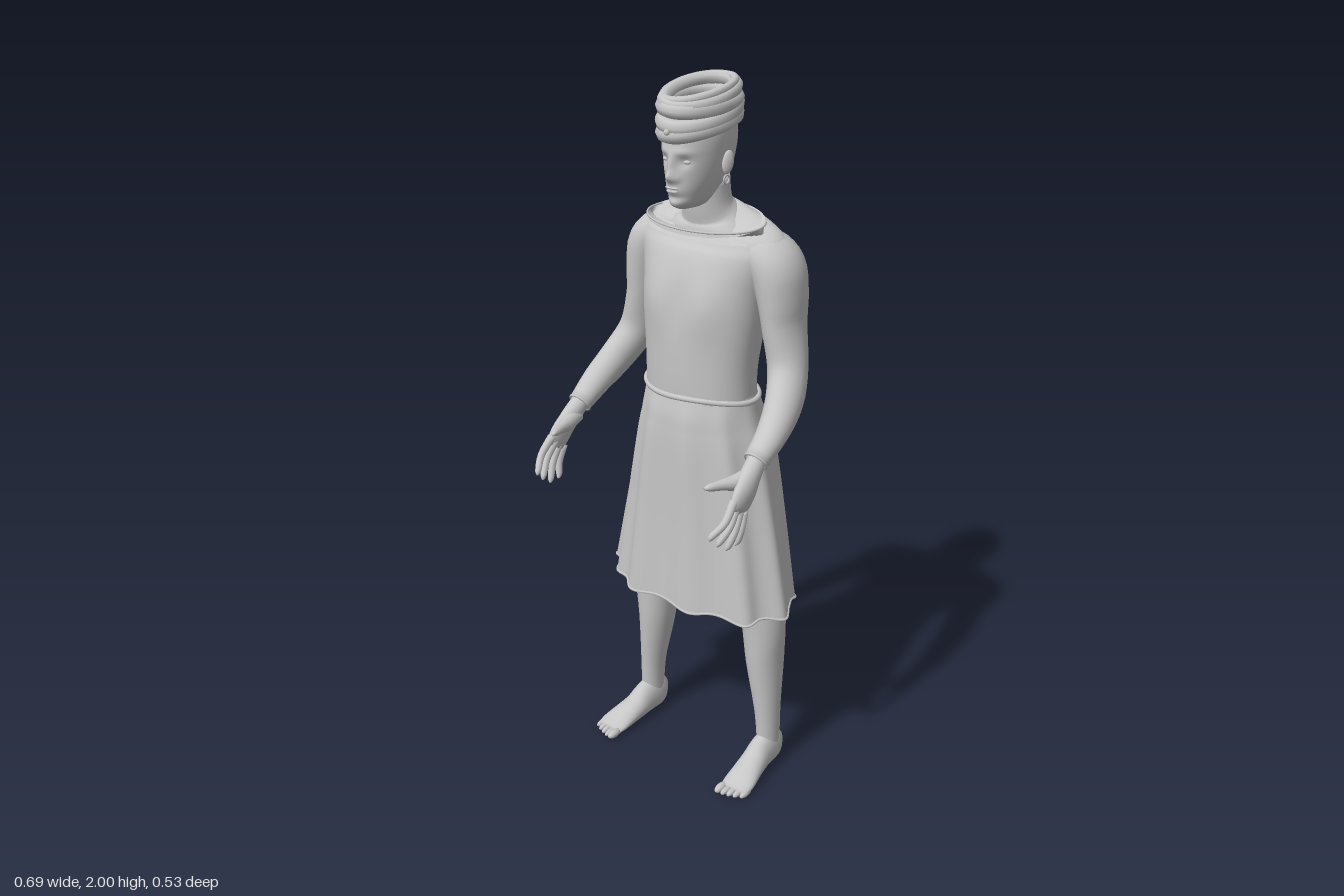
import * as THREE from 'three';

const V = (x, y, z) => new THREE.Vector3(x, y, z);
const X = V(1, 0, 0), Z = V(0, 0, 1);
const gauss = (d, w) => Math.exp(-(d * d) / (w * w));
const clay = new THREE.MeshStandardMaterial({ color: 0xc6c6c6, side: THREE.DoubleSide });
clay.name = 'plain light grey';

// Smooth skin over oval sections; each row is [x, y, z, side radius, front radius, back radius]
function loft(rows, { ref = X, seg = 24, power = 1, caps = true, fine = 4, shape = null } = {}) {
  const path = new THREE.CatmullRomCurve3(rows.map(r => V(r[0], r[1], r[2])), false, 'catmullrom', 0.5);
  const size = new THREE.CatmullRomCurve3(
    rows.map(r => V(r[3], r[4] ?? r[3], r[5] ?? r[4] ?? r[3])), false, 'catmullrom', 0.5);
  const n = (rows.length - 1) * fine, pos = [], idx = [];
  const bend = v => Math.sign(v) * Math.pow(Math.abs(v), power);
  for (let i = 0; i <= n; i++) {
    const c = path.getPoint(i / n), r = size.getPoint(i / n), T = path.getTangent(i / n);
    const u = ref.clone().addScaledVector(T, -ref.dot(T)).normalize();
    const v = u.clone().cross(T);
    for (let j = 0; j < seg; j++) {
      const a = j / seg * Math.PI * 2, co = Math.cos(a);
      const p = c.clone().addScaledVector(u, bend(Math.sin(a)) * Math.max(r.x, 0.001))
        .addScaledVector(v, bend(co) * Math.max(co > 0 ? r.y : r.z, 0.001));
      if (shape) shape(p, a, i / n, c);
      pos.push(p.x, p.y, p.z);
    }
  }
  for (let i = 0; i < n; i++) for (let j = 0; j < seg; j++) {
    const a = i * seg + j, b = i * seg + (j + 1) % seg;
    idx.push(a, b, b + seg, a, b + seg, a + seg);
  }
  if (caps) for (const i of [0, n]) {
    const c = path.getPoint(i / n), k = pos.length / 3;
    pos.push(c.x, c.y, c.z);
    for (let j = 0; j < seg; j++) {
      const a = i * seg + j, b = i * seg + (j + 1) % seg;
      if (i) idx.push(a, b, k); else idx.push(b, a, k);
    }
  }
  const g = new THREE.BufferGeometry();
  g.setAttribute('position', new THREE.Float32BufferAttribute(pos, 3));
  g.setIndex(idx);
  g.computeVertexNormals();
  return g;
}

// Closed cord: fn gives the point at each angle
function ring(fn, radius, n = 48, sides = 8) {
  const pts = Array.from({ length: n }, (_, i) => fn(i / n * Math.PI * 2));
  return new THREE.TubeGeometry(new THREE.CatmullRomCurve3(pts, true), n * 2, radius, sides, true);
}

export function createModel() {
  const model = new THREE.Group();
  const add = (name, geometry, parent = model) => {
    const m = new THREE.Mesh(geometry, clay);
    m.name = name;
    parent.add(m);
    return m;
  };
  const blob = (name, x, y, z, rx, ry, rz, parent) => {
    const m = add(name, new THREE.SphereGeometry(1, 16, 12), parent);
    m.position.set(x, y, z);
    m.scale.set(rx, ry, rz);
    return m;
  };

  // Torso sloping out into the shoulders, with chest swell and spine groove
  add('torso', loft([
    [0, 1.15, -0.08, 0.165, 0.11, 0.11], [0, 1.25, -0.08, 0.165, 0.113, 0.112],
    [0, 1.38, -0.09, 0.177, 0.122, 0.13], [0, 1.48, -0.105, 0.19, 0.122, 0.126],
    [0, 1.55, -0.125, 0.225, 0.112, 0.105], [0, 1.595, -0.13, 0.228, 0.095, 0.087],
    [0, 1.625, -0.13, 0.195, 0.078, 0.073], [0, 1.643, -0.125, 0.13, 0.065, 0.062],
    [0, 1.66, -0.115, 0.06, 0.05, 0.055]], {
    seg: 48, power: 0.9, shape: p => {
      if (p.z < -0.1) p.z += 0.014 * gauss(p.x, 0.035) * gauss(p.y - 1.4, 0.2);
      else p.z += (0.01 * gauss(Math.abs(p.x) - 0.085, 0.05) - 0.006 * gauss(p.x, 0.025)) * gauss(p.y - 1.43, 0.07);
    } }));

  // Loose neckline: narrow lip standing off the chest
  const lip = a => 1.639 - 0.009 * Math.cos(a);
  add('collarEdge', ring(a => V(0.176 * Math.sin(a), lip(a), -0.093 + 0.108 * Math.cos(a)), 0.003, 40, 6));
  add('collar', loft([[0, 1.6, -0.098, 0.183, 0.09], [0, 1.639, -0.093, 0.176, 0.108]], {
    seg: 40, caps: false, fine: 1, shape: (p, a) => { p.y += lip(a) - 1.639; } }));

  // Skirt with uneven flared folds: [angle, depth]
  const folds = [[-2.66, 0.2], [2.27, 0.11], [-1.5, 0.15], [1.45, 0.08], [-0.45, 0.14], [0.2, 0.1],
    [0.82, 0.12], [-0.9, 0.09], [3.0, 0.06], [-2.1, 0.06]];
  const flare = a => folds.reduce((s, [t, d]) => {
    const da = Math.atan2(Math.sin(a - t), Math.cos(a - t));
    return s + d * gauss(da, 0.18);
  }, 0);
  const drape = (p, a, f, c) => {
    const w = Math.pow(1 - f, 0.8), k = 1 + (flare(a) - 0.04) * w;
    p.x *= k;
    p.z = c.z + (p.z - c.z) * k;
    p.y -= 0.1 * flare(a) * Math.max(0, 1 - f * 3);
  };
  const hem = [0, 0.552, -0.1, 0.294, 0.158, 0.154];
  add('skirt', loft([hem, [0, 0.8, -0.1, 0.248, 0.15, 0.153], [0, 1.03, -0.095, 0.2, 0.143, 0.155],
    [0, 1.12, -0.088, 0.178, 0.132, 0.125], [0, 1.18, -0.083, 0.167, 0.115, 0.11]],
  { seg: 120, caps: false, fine: 6, power: 0.95, shape: drape }));
  add('skirtHem', ring(a => {
    const pw = v => Math.sign(v) * Math.pow(Math.abs(v), 0.95);
    const p = V(hem[3] * pw(Math.sin(a)), hem[1], hem[2] + pw(Math.cos(a)) * (Math.cos(a) > 0 ? hem[4] : hem[5]));
    drape(p, a, 0, V(0, 0, hem[2]));
    return p;
  }, 0.004, 90, 6));
  add('waistRoll', ring(a => V(0.173 * Math.sin(a), 1.172 + 0.004 * Math.sin(a * 3), -0.082 + 0.114 * Math.cos(a)), 0.008));

  // Neck and head, with the face pushed out of the front
  add('neck', loft([[0, 1.61, -0.115, 0.13, 0.08, 0.085], [0, 1.645, -0.112, 0.088, 0.072, 0.075],
    [0, 1.68, -0.1, 0.065, 0.064, 0.066], [0, 1.75, -0.09, 0.058, 0.06, 0.072]]));
  const face = p => {
    if (p.z < -0.03) return;
    const ax = Math.abs(p.x), y = p.y;
    p.z += 0.02 * gauss(p.x, 0.013) * gauss(y - 1.77, 0.016)
      + 0.012 * gauss(p.x, 0.01) * gauss(y - 1.8, 0.025)
      + 0.006 * gauss(ax - 0.015, 0.008) * gauss(y - 1.765, 0.01)
      - 0.009 * gauss(ax - 0.031, 0.016) * gauss(y - 1.808, 0.014)
      + 0.005 * gauss(ax - 0.03, 0.025) * gauss(y - 1.832, 0.01)
      + 0.006 * gauss(p.x, 0.022) * gauss(y - 1.738, 0.014)
      - 0.005 * gauss(p.x, 0.03) * gauss(y - 1.716, 0.008);
  };
  add('head', loft([[0, 1.682, -0.06, 0.022, 0.075, 0.01], [0, 1.697, -0.06, 0.041, 0.1, 0.045],
    [0, 1.73, -0.06, 0.057, 0.103, 0.08], [0, 1.77, -0.06, 0.07, 0.103, 0.108],
    [0, 1.82, -0.06, 0.078, 0.106, 0.125], [0, 1.87, -0.06, 0.08, 0.103, 0.128],
    [0, 1.92, -0.06, 0.07, 0.085, 0.11], [0, 1.945, -0.06, 0.045, 0.055, 0.07], [0, 1.957, -0.06, 0.002]],
  { seg: 72, fine: 8, shape: face }));
  blob('upperLip', 0, 1.742, 0.045, 0.021, 0.004, 0.006);
  blob('lowerLip', 0, 1.733, 0.044, 0.018, 0.005, 0.007);

  // Wrapped headdress: tilted cloth coils around an open crown
  const coil = (y, rx, rz, lean, phase) => a => V(rx * Math.sin(a),
    y + 0.016 * (1 - Math.cos(a)) + lean * Math.sin(a + phase), -0.068 + rz * Math.cos(a));
  [[1.873, 0.074, 0.112, 0.006, 0, 0.022], [1.9, 0.075, 0.112, -0.008, 1, 0.022],
    [1.926, 0.075, 0.112, 0.009, 2, 0.021], [1.947, 0.074, 0.11, -0.006, 0.5, 0.018],
    [1.957, 0.072, 0.108, 0.004, 0, 0.011]].forEach(([y, rx, rz, l, ph, r], i) =>
    add('headdressCoil' + (i + 1), ring(coil(y, rx, rz, l, ph), r, 28, 8)));
  blob('headdressBead', 0, 1.884, 0.064, 0.008, 0.008, 0.006);

  for (const s of [1, -1]) {
    const side = s > 0 ? 'left' : 'right';
    const flip = rows => rows.map(([x, ...rest]) => [s * x, ...rest]);

    // Eye, ear and earring
    blob(side + 'Eye', s * 0.031, 1.808, 0.024, 0.013, 0.006, 0.008);
    const ear = blob(side + 'Ear', s * 0.082, 1.797, -0.078, 0.008, 0.03, 0.017);
    ear.rotation.set(-0.2, s * -0.35, 0);
    const hoop = add(side + 'Earring', new THREE.TorusGeometry(0.011, 0.0025, 6, 20));
    hoop.position.set(s * 0.084, 1.755, -0.07);
    hoop.rotation.y = Math.PI / 2;

    // Arm: shoulder, elbow, wrist
    const arm = new THREE.Group();
    arm.name = side + 'Arm';
    model.add(arm);
    add('sleeve', loft(flip([[0.1, 1.57, -0.13, 0.07, 0.05], [0.16, 1.572, -0.132, 0.08, 0.058],
      [0.203, 1.533, -0.134, 0.085, 0.067], [0.222, 1.46, -0.135, 0.082, 0.059],
      [0.232, 1.38, -0.133, 0.075, 0.05], [0.257, 1.275, -0.118, 0.06, 0.05],
      [0.285, 1.2, -0.065, 0.055, 0.046], [0.302, 1.14, 0.01, 0.042, 0.041],
      [0.305, 1.09, 0.083, 0.031, 0.033]]), { ref: Z }), arm);
    const cuff = add('cuff', new THREE.TorusGeometry(0.031, 0.004, 8, 24), arm);
    cuff.position.set(s * 0.305, 1.091, 0.081);
    cuff.rotation.x = 0.6;

    // Hand with four fingers and a thumb
    add('palm', loft(flip([[0.305, 1.1, 0.07, 0.025, 0.025], [0.31, 1.065, 0.108, 0.031, 0.025],
      [0.316, 1.03, 0.14, 0.038, 0.021], [0.318, 1.0, 0.165, 0.038, 0.015],
      [0.316, 0.985, 0.176, 0.026, 0.009]]), { ref: Z, seg: 20 }), arm);
    [[0.30, 0.935, 0.265], [0.305, 0.91, 0.24], [0.309, 0.888, 0.208], [0.311, 0.888, 0.173]].forEach(([x, y, z], i) => {
      const by = 1.02 - 0.0135 * i, bz = 0.187 - 0.015 * i;
      add('finger' + (i + 1), loft(flip([[0.316, by, bz, 0.012], [0.32, (by + y) / 2, (bz + z) / 2, 0.0105],
        [x + 0.004, y + 0.012, z - 0.008, 0.009], [x, y, z, 0.003]]), { seg: 10 }), arm);
    });
    add('thumb', loft(flip([[0.306, 1.06, 0.1, 0.024], [0.293, 1.053, 0.148, 0.021],
      [0.278, 1.056, 0.19, 0.014], [0.267, 1.058, 0.222, 0.01], [0.261, 1.058, 0.236, 0.004]]), { seg: 12 }), arm);

    // Leg
    const leg = new THREE.Group();
    leg.name = side + 'Leg';
    model.add(leg);
    add('shin', loft(flip([[0.223, 0.035, -0.126, 0.03, 0.035], [0.223, 0.11, -0.126, 0.032, 0.04],
      [0.218, 0.2, -0.126, 0.037, 0.046, 0.044], [0.204, 0.35, -0.126, 0.052, 0.06, 0.065],
      [0.2, 0.48, -0.12, 0.065, 0.062, 0.063], [0.185, 0.62, -0.115, 0.073, 0.075],
      [0.145, 0.8, -0.1, 0.08, 0.085], [0.1, 0.98, -0.09, 0.085, 0.095]])), leg);

    // Foot with five toes, flat on the ground
    const flat = p => { p.y = Math.max(p.y, 0); };
    add('foot', loft(flip([[0.223, 0.034, -0.174, 0.01, 0.02, 0.02], [0.223, 0.04, -0.162, 0.027, 0.04, 0.05],
      [0.223, 0.045, -0.135, 0.034, 0.046, 0.072], [0.225, 0.045, -0.09, 0.036, 0.046, 0.062],
      [0.228, 0.036, -0.05, 0.039, 0.038, 0.042], [0.233, 0.028, -0.01, 0.043, 0.03, 0.031],
      [0.239, 0.018, 0.035, 0.047, 0.02, 0.02], [0.24, 0.012, 0.068, 0.043, 0.013, 0.012]]), { shape: flat }), leg);
    for (let i = 0; i < 5; i++) {
      const r = i ? 0.0095 : 0.0125, tip = [0.106, 0.102, 0.097, 0.09, 0.08][i], x = 0.207 + 0.0175 * i;
      blob('toe' + (i + 1), s * x, r + 0.001, tip - 0.026, r, r, 0.026, leg);
    }
  }
  return model;
}
